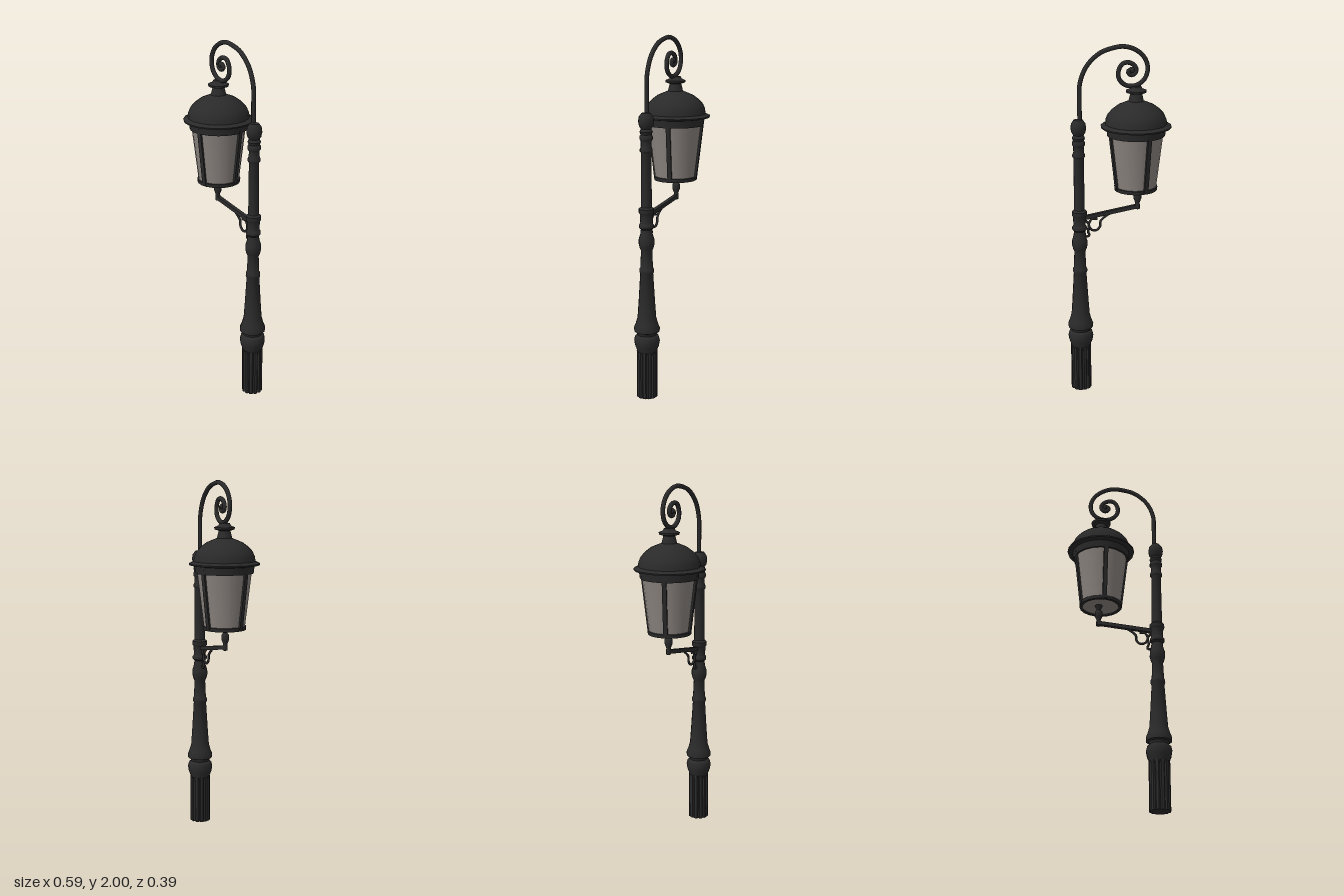
import * as THREE from 'three';
import { toCreasedNormals } from 'three/addons/utils/BufferGeometryUtils.js';

const POLE_X = 0.22, LAMP_X = -0.1;

export function createModel() {
  const group = new THREE.Group();
  const iron = new THREE.MeshStandardMaterial({ color: 0x2a2a2a });
  iron.name = 'castIron';
  const glass = new THREE.MeshStandardMaterial({ color: 0x8a837e, side: THREE.DoubleSide });
  glass.name = 'smokedGlass';

  const add = (name, geometry, material, x = 0, y = 0, z = 0) => {
    const mesh = new THREE.Mesh(geometry, material);
    mesh.name = name;
    mesh.position.set(x, y, z);
    group.add(mesh);
    return mesh;
  };
  // Turned part from [radius, height] pairs, listed bottom to top
  const turned = (name, profile, x, segments = 14, material = iron) => {
    const points = profile.map(([r, y]) => new THREE.Vector2(r, y));
    return add(name, toCreasedNormals(new THREE.LatheGeometry(points, segments), 0.7), material, x);
  };
  // Round rod along a smooth path of [x, y] points
  const rod = (name, path, radius, steps, z = 0) => {
    const curve = new THREE.CatmullRomCurve3(path.map(([x, y]) => new THREE.Vector3(x, y, z)));
    return add(name, new THREE.TubeGeometry(curve, steps, radius, 8), iron);
  };

  // Fluted foot of the post
  const flutes = 12, foot = new THREE.Shape();
  for (let i = 0; i < flutes * 4; i++) {
    const a = (i / (flutes * 4)) * Math.PI * 2;
    const r = i % 4 === 0 ? 0.05 : 0.058;
    if (i) foot.lineTo(Math.cos(a) * r, Math.sin(a) * r);
    else foot.moveTo(r, 0);
  }
  foot.closePath();
  const footGeometry = new THREE.ExtrudeGeometry(foot, { depth: 0.27, bevelEnabled: false });
  footGeometry.rotateX(-Math.PI / 2);
  add('flutedFoot', footGeometry, iron, POLE_X);

  // Post with its rings and bulges
  turned('post', [
    [0.05, 0.24], [0.055, 0.27], [0.067, 0.3], [0.072, 0.33], [0.066, 0.355], [0.054, 0.365],
    [0.058, 0.38], [0.071, 0.385], [0.072, 0.405], [0.062, 0.43], [0.052, 0.465], [0.046, 0.55],
    [0.036, 0.715], [0.041, 0.725], [0.041, 0.74], [0.035, 0.75], [0.031, 0.845],
    [0.038, 0.86], [0.044, 0.885], [0.043, 0.91], [0.034, 0.94], [0.031, 0.965],
    [0.041, 0.975], [0.041, 0.99], [0.034, 1.0], [0.036, 1.05], [0.042, 1.058], [0.042, 1.08],
    [0.03, 1.09], [0.028, 1.385], [0.035, 1.395], [0.035, 1.405], [0.029, 1.42], [0.029, 1.45],
    [0.036, 1.46], [0.036, 1.475], [0.03, 1.485], [0.036, 1.5], [0.028, 1.515],
    [0.038, 1.53], [0.043, 1.555], [0.039, 1.58], [0.025, 1.6], [0, 1.605],
  ], POLE_X);

  // Arched neck ending in a scroll
  rod('scrollArm', [
    [0.212, 1.58], [0.212, 1.7], [0.208, 1.8], [0.17, 1.89], [0.1, 1.955], [0.03, 1.98],
    [-0.03, 1.987], [-0.09, 1.97], [-0.14, 1.93], [-0.163, 1.87], [-0.147, 1.81], [-0.1, 1.776],
    [-0.045, 1.777], [-0.007, 1.81], [-0.002, 1.855], [-0.025, 1.895], [-0.06, 1.9],
    [-0.093, 1.88], [-0.099, 1.85], [-0.08, 1.832], [-0.056, 1.842], [-0.062, 1.862], [-0.08, 1.862],
  ], 0.0125, 100);
  add('scrollTip', new THREE.SphereGeometry(0.016, 10, 8), iron, -0.076, 1.858);

  // Lantern roof, with flared rim and collar
  turned('lanternRoof', [
    [0, 1.525], [0.152, 1.5], [0.16, 1.5], [0.165, 1.54], [0.193, 1.545], [0.195, 1.553],
    [0.17, 1.565], [0.167, 1.59], [0.155, 1.617], [0.132, 1.642], [0.1, 1.666], [0.06, 1.683],
    [0.042, 1.69], [0.036, 1.715], [0.032, 1.73], [0.055, 1.737], [0.057, 1.748],
    [0.035, 1.757], [0.028, 1.77], [0, 1.772],
  ], LAMP_X, 20);

  // Tapered glass with a closed underside
  turned('glassShade', [[0, 1.2], [0.113, 1.2], [0.152, 1.525]], LAMP_X, 20, glass);

  // Ring holding the lower edge of the glass
  turned('lowerRing', [
    [0.103, 1.19], [0.119, 1.19], [0.121, 1.21], [0.113, 1.212], [0.103, 1.19],
  ], LAMP_X, 20);

  // Four sloping posts around the glass
  for (const degrees of [12, 104, 196, -68]) {
    const pivot = new THREE.Group();
    pivot.name = 'lanternPost';
    pivot.position.x = LAMP_X;
    pivot.rotation.y = THREE.MathUtils.degToRad(degrees);
    const bar = new THREE.Mesh(new THREE.BoxGeometry(0.024, 0.335, 0.014), iron);
    bar.name = 'lanternPostBar';
    bar.position.set(0, 1.36, 0.135);
    bar.rotation.x = Math.atan2(0.039, 0.325);
    pivot.add(bar);
    group.add(pivot);
  }

  // Turned stem under the lantern
  turned('stem', [
    [0, 1.07], [0.014, 1.075], [0.014, 1.1], [0.012, 1.11], [0.022, 1.135], [0.022, 1.16],
    [0.012, 1.172], [0.014, 1.185], [0.022, 1.2], [0, 1.202],
  ], -0.11, 10);

  // Support bar from the post to the stem
  const bar = add('supportBar', new THREE.BoxGeometry(0.325, 0.022, 0.022), iron, 0.045, 1.065);
  bar.rotation.z = -Math.atan2(0.05, 0.31);

  // Curled brace below the bar
  rod('curledBrace', [
    [0.05, 1.055], [0.075, 1.04], [0.1, 1.015], [0.103, 0.985], [0.125, 0.963], [0.155, 0.97],
    [0.167, 1.0], [0.15, 1.03], [0.12, 1.03],
  ], 0.007, 40);
  rod('braceTail', [[0.19, 1.03], [0.168, 1.0], [0.172, 0.96], [0.165, 0.935], [0.185, 0.93], [0.195, 0.96]], 0.007, 24);

  return group;
}
